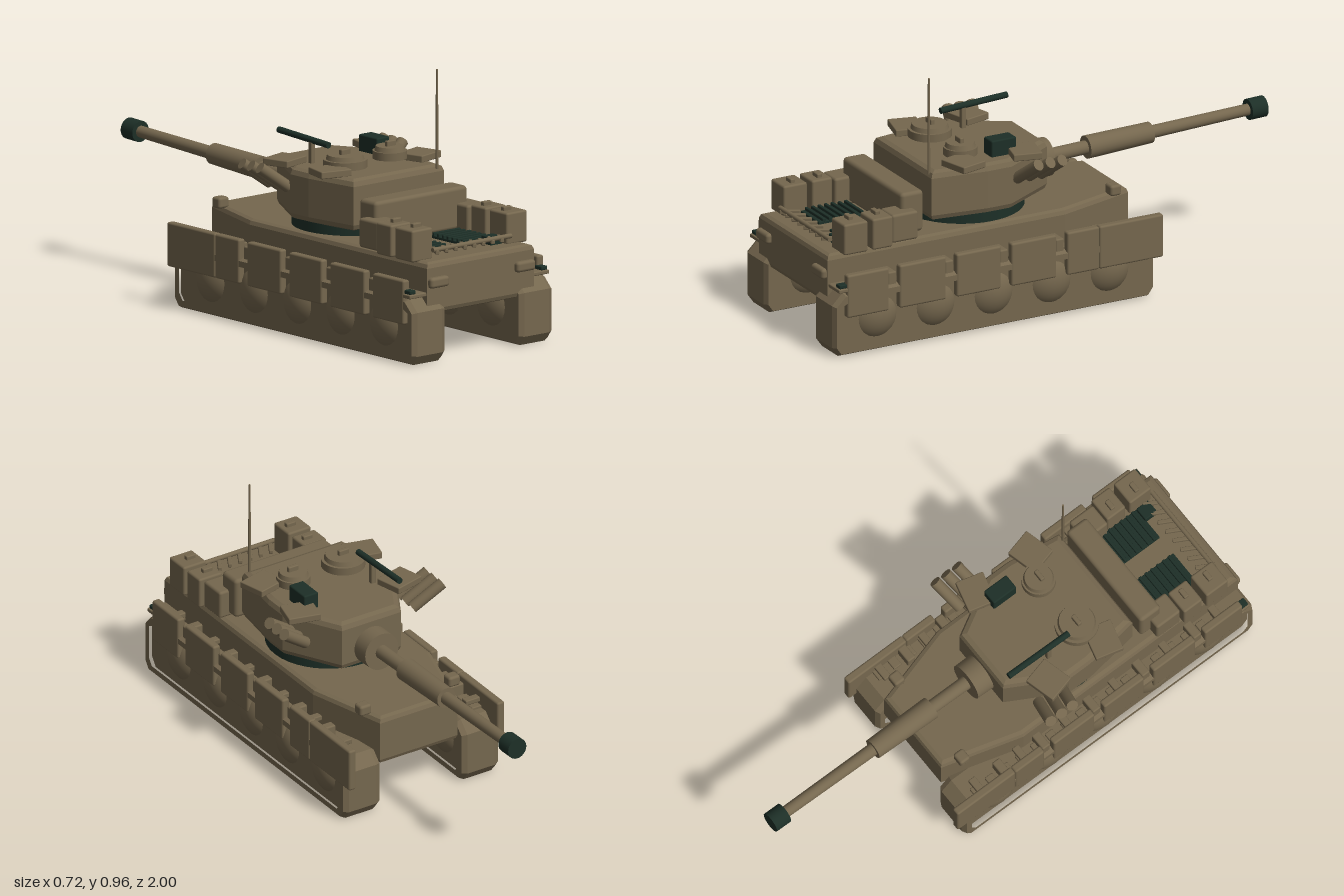
import * as THREE from 'three';
import { RoundedBoxGeometry } from 'three/addons/geometries/RoundedBoxGeometry.js';

export function createModel() {
  const model = new THREE.Group();
  const tan = new THREE.MeshStandardMaterial({ color: 0x75674e });
  tan.name = 'earth brown';
  const dark = new THREE.MeshStandardMaterial({ color: 0x1d2f27 });
  dark.name = 'dark green';

  const add = (name, geo, mat = tan, pos = [0, 0, 0], rot = [0, 0, 0], parent = model) => {
    const m = new THREE.Mesh(geo, mat);
    m.name = name;
    m.position.set(...pos);
    m.rotation.set(...rot);
    parent.add(m);
    return m;
  };
  // Rounded box given by its extents
  const box = (name, [x0, x1], [y0, y1], [z0, z1], mat = tan, r = 0.01, rot) => {
    const w = x1 - x0, h = y1 - y0, d = z1 - z0;
    const radius = Math.min(r, w * 0.3, h * 0.3, d * 0.3);
    return add(name, new RoundedBoxGeometry(w, h, d, 2, radius), mat,
      [(x0 + x1) / 2, (y0 + y1) / 2, (z0 + z1) / 2], rot);
  };
  // Box on one side, signed so that s = -1 mirrors it
  const sideBox = (s, name, [a, b], y, z, ...rest) => box(name, s > 0 ? [a, b] : [-b, -a], y, z, ...rest);
  // Round bar between two points
  const bar = (name, a, b, ra, rb = ra, mat = tan, n = 20) => {
    const A = new THREE.Vector3(...a), B = new THREE.Vector3(...b), dir = B.clone().sub(A);
    const m = add(name, new THREE.CylinderGeometry(rb, ra, dir.length(), n), mat);
    m.position.copy(A).add(B).multiplyScalar(0.5);
    m.quaternion.setFromUnitVectors(new THREE.Vector3(0, 1, 0), dir.normalize());
    return m;
  };
  // Upright slab from half a plan outline (x, z), mirrored, with bevelled rims
  const slab = (name, half, y0, y1, bevel) => {
    const pts = [...half, ...half.map(([x, z]) => [-x, z]).reverse()];
    const shape = new THREE.Shape(pts.map(([x, z]) => new THREE.Vector2(x, -z)));
    const geo = new THREE.ExtrudeGeometry(shape, { depth: y1 - y0 - 2 * bevel, bevelThickness: bevel,
      bevelSize: bevel, bevelOffset: -bevel, bevelSegments: 2 });
    geo.rotateX(-Math.PI / 2);
    return add(name, geo, tan, [0, y0 + bevel, 0]);
  };

  // Hull with narrowing bow
  slab('hull', [[0.17, -0.335], [0.26, -0.02], [0.26, 0.98]], 0.18, 0.375, 0.02);

  // Side outline of a track, inset by d
  const trackPoints = (d) => [[-0.33 + d, d], [0.97 - d, d], [0.995 - d, 0.035 + d], [0.995 - d, 0.2],
    [0.95 - d, 0.245 - d], [-0.31 + d, 0.245 - d], [-0.355 + d, 0.2], [-0.355 + d, 0.035 + d]]
    .map(([z, y]) => new THREE.Vector2(-z, y));
  const band = new THREE.Shape(trackPoints(0));
  band.holes.push(new THREE.Path(trackPoints(0.022)));
  const bandGeo = new THREE.ExtrudeGeometry(band, { depth: 0.12, bevelThickness: 0.02, bevelSize: 0.01,
    bevelOffset: -0.01, bevelSegments: 1 });
  bandGeo.rotateY(Math.PI / 2);
  bandGeo.translate(-0.06, 0, 0);
  const coreGeo = new THREE.ExtrudeGeometry(new THREE.Shape(trackPoints(0.015)), { depth: 0.11, bevelEnabled: false });
  coreGeo.rotateY(Math.PI / 2);
  coreGeo.translate(-0.055, 0, 0);
  const wheelGeo = new THREE.SphereGeometry(0.108, 28, 18).scale(0.76, 1, 1);

  for (const s of [1, -1]) {
    // Running gear
    add('trackBand', bandGeo, tan, [s * 0.26, 0, 0]);
    add('trackCore', coreGeo, tan, [s * 0.26, 0, 0]);
    for (let i = 0; i < 5; i++) add('roadWheel', wheelGeo, tan, [s * 0.26, 0.125, 0.8 - i * 0.244]);
    for (let i = 0; i < 18; i++) {
      const z = -0.28 + i * 0.07;
      sideBox(s, 'trackLink', [0.27, 0.315], [0.235, 0.255], [z, z + 0.035], tan, 0.004);
    }
    sideBox(s, 'rearFender', [0.18, 0.34], [0.25, 0.265], [0.84, 0.975], tan, 0.004);
    sideBox(s, 'fenderBracket', [0.305, 0.335], [0.265, 0.28], [0.93, 0.97], dark, 0.004);
    sideBox(s, 'rearLamp', [0.165, 0.255], [0.28, 0.32], [0.95, 1.0], tan, 0.014);

    // Skirt plates and the hangers between them
    const plates = [[0.765, 0.94], [0.525, 0.72], [0.295, 0.48], [0.06, 0.25], [-0.12, 0.015], [-0.39, -0.12]];
    plates.forEach(([a, b], i) => {
      sideBox(s, 'skirtPlate', [0.31, 0.342], [0.148, 0.315], [a, b], tan, 0.008);
      if (i < 5) sideBox(s, 'skirtHanger', [0.25, 0.325], [0.21, 0.29], [a - 0.04, a - 0.005], tan, 0.006);
      sideBox(s, 'skirtArm', [0.25, 0.32], [0.265, 0.285], [(a + b) / 2 - 0.015, (a + b) / 2 + 0.015], tan, 0.004);
    });

    // Deck fittings
    sideBox(s, 'headlamp', [0.17, 0.22], [0.37, 0.412], [-0.28, -0.235]);
    for (const [a, b] of [[0.82, 0.92], [0.715, 0.8]]) {
      sideBox(s, 'stowageCrate', [0.18, 0.28], [0.37, 0.49], [a, b], tan, 0.008);
      sideBox(s, 'crateHandle', [0.2, 0.24], [0.485, 0.505], [(a + b) / 2 - 0.01, (a + b) / 2 + 0.01], tan, 0.004);
    }
    sideBox(s, 'grilleBed', [0.04, 0.178], [0.372, 0.385], [0.65, 0.85], dark, 0.003);
    for (let i = 0; i < 7; i++) {
      const z = 0.66 + i * 0.027;
      sideBox(s, 'grilleSlat', [0.04, 0.178], [0.382, 0.396], [z, z + 0.012], dark, 0.003);
    }

    // Tilted roof plates
    for (const [z, turn] of [[0.13, -0.25], [0.385, 0.25]])
      sideBox(s, 'roofPlate', [0.155, 0.28], [0.603, 0.63], [z - 0.055, z + 0.055], tan, 0.004, [0, s * turn, 0]);

    // Smoke launchers
    for (let i = 0; i < 3; i++) {
      const z = 0.05 + i * 0.05;
      bar('smokeLauncher', [s * 0.235, 0.525, z + 0.02], [s * 0.347, 0.608, z - 0.01], 0.022);
    }
  }

  // Engine deck
  box('rearStowageBin', [-0.225, 0.225], [0.385, 0.545], [0.555, 0.65], tan, 0.015);
  for (const s of [1, -1]) sideBox(s, 'binEnd', [0.17, 0.265], [0.375, 0.485], [0.6, 0.71]);
  bar('towBar', [-0.19, 0.407, 0.93], [0.19, 0.407, 0.93], 0.009);
  for (let i = 0; i < 8; i++)
    box('towLink', [-0.165 + i * 0.045, -0.15 + i * 0.045], [0.39, 0.405], [0.87, 0.945], tan, 0.003, [0, -0.5, 0]);
  box('deckTool', [0.12, 0.175], [0.37, 0.405], [0.845, 0.9], dark, 0.004);

  // Turret
  add('turretRing', new THREE.CylinderGeometry(0.235, 0.235, 0.06, 40), dark, [0, 0.395, 0.275]);
  slab('turret', [[0.13, -0.015], [0.25, 0.2], [0.25, 0.3], [0.22, 0.52]], 0.41, 0.605, 0.025);
  add('commanderHatchRing', new THREE.CylinderGeometry(0.082, 0.082, 0.03, 32), tan, [-0.11, 0.628, 0.345]);
  add('commanderHatch', new THREE.CylinderGeometry(0.066, 0.072, 0.02, 32), tan, [-0.11, 0.65, 0.345]);
  add('loaderHatchRing', new THREE.CylinderGeometry(0.064, 0.064, 0.03, 32), tan, [0.112, 0.628, 0.34]);
  add('loaderHatch', new THREE.CylinderGeometry(0.052, 0.058, 0.02, 32), tan, [0.112, 0.65, 0.34]);
  for (const x of [-0.11, 0.112])
    box('hatchHandle', [x - 0.022, x + 0.022], [0.65, 0.68], [0.335, 0.352], tan, 0.004);
  box('sight', [0.128, 0.19], [0.6, 0.668], [0.145, 0.25], dark, 0.006);
  box('gunMount', [-0.148, -0.128], [0.6, 0.69], [0.18, 0.2], tan, 0.004);
  bar('machineGun', [-0.138, 0.687, 0.285], [-0.138, 0.7, 0.005], 0.012, 0.012, dark);
  bar('antenna', [0.19, 0.59, 0.515], [0.19, 0.965, 0.515], 0.006, 0.004, tan, 8);

  // Main gun, slightly raised
  const axis = (z) => [0, 0.485 - (z + 0.05) * 0.034, z];
  bar('mantlet', axis(0.02), axis(-0.085), 0.075, 0.073, tan, 32);
  bar('barrel', axis(-0.06), axis(-0.95), 0.027, 0.022, tan, 24);
  bar('barrelSleeve', axis(-0.25), axis(-0.52), 0.044, 0.04, tan, 24);
  bar('muzzle', axis(-0.932), axis(-0.998), 0.04, 0.04, dark, 24);

  return model;
}
